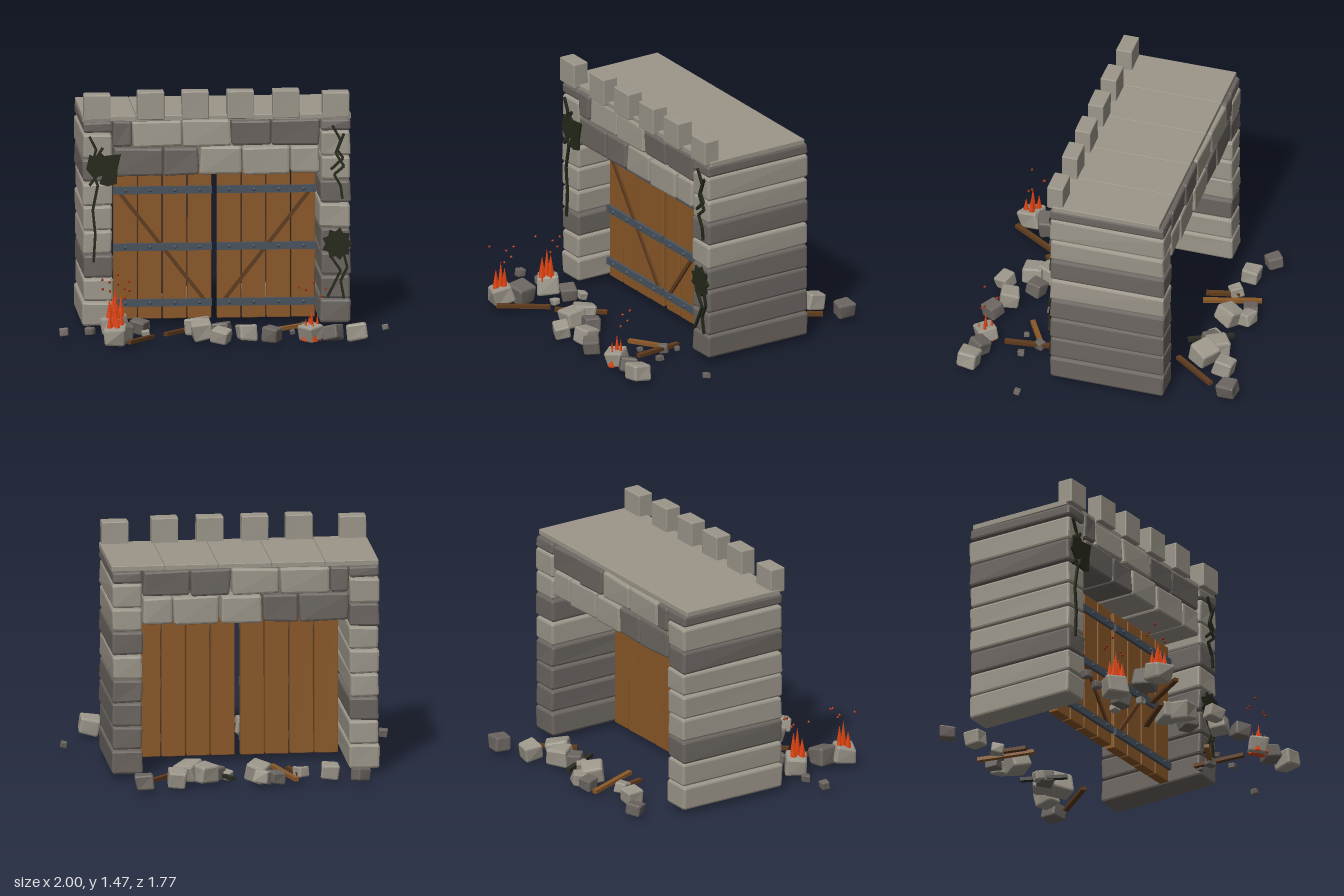
import * as THREE from 'three';

const mat = (name, color, side = THREE.FrontSide) => {
  const m = new THREE.MeshStandardMaterial({ color, side });
  m.name = name;
  return m;
};

export function createModel() {
  const root = new THREE.Group();
  root.name = 'ruinedGate';

  const light = mat('lightStone', 0x9c968a);
  const dark = mat('darkStone', 0x6b6560);
  const wood = mat('wood', 0x8a5828);
  const brown = mat('darkWood', 0x5f3b1d);
  const iron = mat('iron', 0x48535e);
  const char = mat('charredWood', 0x2a2b22);
  const vine = mat('vine', 0x25281a, THREE.DoubleSide);
  const flame = mat('flame', 0xdd420e);
  const ember = mat('ember', 0x9a3010);

  let seed = 7;
  const rand = () => (seed = (seed * 16807) % 2147483647) / 2147483647;
  const spread = (a) => (rand() * 2 - 1) * a;

  const group = (name, parent = root) => {
    const g = new THREE.Group();
    g.name = name;
    parent.add(g);
    return g;
  };
  const add = (parent, name, geo, material, x = 0, y = 0, z = 0) => {
    const m = new THREE.Mesh(geo, material);
    m.name = name;
    m.position.set(x, y, z);
    parent.add(m);
    return m;
  };
  const flat = (geo) => {
    const g = geo.toNonIndexed();
    g.computeVertexNormals();
    return g;
  };

  // Block with bevelled edges whose eight corners are nudged by a seeded amount
  const stoneGeo = (w, h, d, bevel, jitter) => {
    const geo = new THREE.BoxGeometry(3, 3, 3, 3, 3, 3);
    const half = [w / 2, h / 2, d / 2];
    const nudge = Array.from({ length: 8 }, () => [spread(jitter), spread(jitter), spread(jitter)]);
    const p = geo.attributes.position;
    for (let i = 0; i < p.count; i++) {
      const c = [p.getX(i), p.getY(i), p.getZ(i)];
      const outer = c.filter((v) => Math.abs(v) > 1).length;
      const n = nudge[(c[0] > 0 ? 1 : 0) + (c[1] > 0 ? 2 : 0) + (c[2] > 0 ? 4 : 0)];
      const q = c.map((v, k) => {
        const inset = Math.abs(v) < 1 ? bevel : outer > 1 ? bevel * 0.3 * (outer - 1) : 0;
        return Math.sign(v) * (half[k] - inset) + n[k];
      });
      p.setXYZ(i, ...q);
    }
    return flat(geo);
  };
  const block = (parent, name, x0, x1, y0, y1, z0, z1, material, bevel = 0.012, jitter = 0.004) =>
    add(parent, name, stoneGeo(x1 - x0, y1 - y0, z1 - z0, bevel, jitter), material,
      (x0 + x1) / 2, (y0 + y1) / 2, (z0 + z1) / 2);

  // Straight bar between two points
  const beam = (parent, name, a, b, w, h, material) => {
    const from = new THREE.Vector3(...a), to = new THREE.Vector3(...b);
    const mid = from.clone().add(to).multiplyScalar(0.5);
    const m = add(parent, name, new THREE.BoxGeometry(w, h, from.distanceTo(to)), material, mid.x, mid.y, mid.z);
    m.lookAt(to);
    return m;
  };

  // Side pillars: full-depth courses (1 = dark stone)
  const pillars = group('pillars');
  const rows = [0.035, 0.183, 0.33, 0.475, 0.62, 0.77, 0.915, 1.06, 1.215, 1.29];
  const courses = { left: [0.6, 0.78, [1, 1, 1, 1, 0, 1, 0, 0, 1]], right: [-0.84, -0.66, [0, 0, 1, 0, 0, 0, 1, 0, 1]] };
  for (const [side, [x0, x1, tones]] of Object.entries(courses)) {
    tones.forEach((t, i) => block(pillars, side + 'PillarStone', x0 + spread(0.004), x1 + spread(0.004),
      rows[i] + 0.003, rows[i + 1] - 0.003, -0.47, 0.245, t ? dark : light, 0.014));
  }

  // Lintel: two courses of long stones spanning the depth
  const lintel = group('lintel');
  const lintelRows = [
    [0.955, 1.125, [-0.655, -0.35, -0.133, 0.125, 0.415, 0.595], [1, 1, 0, 0, 0]],
    [1.13, 1.29, [-0.66, -0.54, -0.238, 0.06, 0.304, 0.598], [1, 0, 0, 1, 1]],
  ];
  for (const [y0, y1, xs, tones] of lintelRows) {
    tones.forEach((t, i) => block(lintel, 'lintelStone', xs[i] + 0.004, xs[i + 1] - 0.004, y0, y1,
      -0.47, 0.245 + spread(0.006), t ? dark : light, 0.014, 0.006));
  }

  // Roof slabs and battlements
  const roof = group('roof');
  for (let i = 0; i < 5; i++) {
    const x = -0.84 + i * 0.325;
    block(roof, 'roofSlab', x + 0.001, x + 0.324, 1.285, 1.32, -0.445, 0.228, light, 0.004, 0);
  }
  [-0.753, -0.428, -0.158, 0.115, 0.39, 0.692].forEach((x, i) =>
    block(roof, 'merlon', x - 0.081, x + 0.081, 1.3, i % 5 ? 1.47 : 1.455, 0.165, 0.265, light, 0.006, 0.001));

  // Double doors: planks, iron bands, rivets, diagonal brace
  const rivetGeo = new THREE.SphereGeometry(0.011, 8, 6);
  for (const [side, x0, dir] of [['right', -0.643, 1], ['left', -0.015, -1]]) {
    const door = group(side + 'Door');
    for (let i = 0; i < 4; i++) {
      const x = x0 + 0.075 + i * 0.15;
      block(door, 'doorPlank', x - 0.071, x + 0.071, 0.04, 0.935, -0.03, 0.03, wood, 0.004, 0.001);
      for (const y of [0.14, 0.482, 0.83]) add(door, 'rivet', rivetGeo, iron, x, y, 0.051);
    }
    for (const y of [0.14, 0.482, 0.83]) {
      add(door, 'ironBand', new THREE.BoxGeometry(0.6, 0.045, 0.022), iron, x0 + 0.3, y, 0.039);
    }
    const mid = x0 + 0.3;
    beam(door, 'diagonalBrace', [mid - dir * 0.257, 0.81, 0.036], [mid + dir * 0.257, 0.15, 0.036], 0.014, 0.022, brown);
  }

  // Fallen stones: x, z, size, dark flag
  const rubble = group('rubble');
  const rocks = [
    [-0.97, 0.46, 0.052, 1], [-0.81, 0.43, 0.05, 1], [-0.66, 0.46, 0.13, 0], [-0.51, 0.41, 0.095, 1],
    [-0.47, 0.34, 0.05, 0], [-0.48, 0.53, 0.045, 0], [-0.63, 0.67, 0.125, 1], [-0.68, 0.79, 0.13, 0],
    [-0.165, 0.52, 0.13, 0], [-0.145, 0.625, 0.125, 0], [-0.02, 0.57, 0.1, 1], [-0.04, 0.77, 0.1, 0],
    [0.12, 0.695, 0.11, 0], [0.27, 0.755, 0.1, 1], [0.52, 0.305, 0.03, 1], [0.5, 0.39, 0.055, 1],
    [0.6, 0.48, 0.04, 1], [0.41, 0.5, 0.03, 1], [0.98, 0.39, 0.038, 1], [0.51, 0.73, 0.11, 0],
    [0.64, 0.73, 0.1, 1], [0.78, 0.755, 0.125, 0],
    [-0.695, -0.725, 0.09, 1], [-0.52, -0.635, 0.105, 0], [-0.35, -0.59, 0.075, 0], [-0.19, -0.73, 0.085, 1],
    [-0.1, -0.735, 0.09, 0], [-0.085, -0.63, 0.125, 0], [0.1, -0.59, 0.06, 0], [0.17, -0.59, 0.095, 1],
    [0.245, -0.65, 0.13, 0], [0.34, -0.6, 0.135, 0], [0.42, -0.745, 0.11, 0], [0.625, -0.83, 0.11, 1],
  ];
  for (const [x, z, s, t] of rocks) {
    const m = add(rubble, 'fallenStone', stoneGeo(s, s * 0.85, s, s * 0.1, s * 0.06), t ? dark : light, x, 0.018 + s * 0.46, z);
    m.rotation.set(spread(0.2), spread(0.7), spread(0.2));
  }

  // Broken planks on the ground
  const debris = group('brokenPlanks');
  const planks = [
    [-0.365, 0.605, -0.16, 0.36, brown], [-0.605, 0.87, -0.44, 0.59, brown],
    [0.29, 0.5, 0.5, 0.385, wood], [0.49, 0.28, 0.545, 0.6, brown],
    [-0.305, -0.765, -0.19, -0.43, wood], [-0.335, -0.62, -0.29, -0.42, brown],
    [0.075, -0.705, 0.2, -0.45, char], [0.58, -0.71, 0.37, -0.44, brown],
  ];
  for (const [x0, z0, x1, z1, m] of planks) {
    beam(debris, 'brokenPlank', [x0, 0.045, z0], [x1, 0.045 + spread(0.018), z1], 0.03, 0.022, m);
  }

  // Fires: centre, peak height, and drifting embers
  const fires = [[-0.66, 0.47, 0.31], [-0.68, 0.79, 0.29], [0.51, 0.73, 0.22]];
  const tongues = [[0, 0, 1], [-0.035, 0.012, 0.7], [0.035, -0.005, 0.8], [0.008, 0.04, 0.6], [-0.012, -0.035, 0.75]];
  const sparks = [[-0.03, -0.06, 0.02], [0.02, -0.08, 0.06], [0.055, 0.01, -0.01], [0.085, -0.02, 0.03], [-0.08, 0.03, 0.05]];
  fires.forEach(([x, z, top]) => {
    const fire = group('fire');
    const base = top - 0.2;
    for (const [dx, dz, k] of tongues) {
      add(fire, 'flameTongue', flat(new THREE.ConeGeometry(0.027, 0.2 * k, 6)), flame, x + dx, base + 0.1 * k, z + dz);
    }
    for (const [dx, dz, dy] of sparks) {
      add(fire, 'emberSpark', flat(new THREE.IcosahedronGeometry(0.009, 0)), ember, x + dx,
        (top < 0.25 ? 0.3 : 0.315) + dy, z + dz);
    }
  });

  // Dead creepers on the pillar fronts: zigzag stems and thin leafy clumps
  const creepers = group('creepers');
  const stems = [
    [[-0.8, 1.2], [-0.76, 1.12], [-0.79, 1.0], [-0.75, 0.9], [-0.78, 0.75], [-0.765, 0.6], [-0.775, 0.43]],
    [[-0.72, 1.13], [-0.77, 1.05], [-0.74, 0.98], [-0.8, 0.9]],
    [[0.67, 1.25], [0.72, 1.16], [0.69, 1.08], [0.74, 1.0], [0.68, 0.95], [0.72, 0.88], [0.73, 0.8]],
    [[0.74, 1.2], [0.7, 1.1], [0.735, 1.05], [0.66, 0.98]],
    [[0.7, 0.6], [0.66, 0.45], [0.72, 0.36], [0.68, 0.28], [0.64, 0.2]],
    [[0.73, 0.5], [0.76, 0.38], [0.72, 0.3], [0.74, 0.19]],
  ];
  for (const pts of stems) {
    for (let i = 1; i < pts.length; i++) {
      beam(creepers, 'creeperStem', [...pts[i - 1], 0.253], [...pts[i], 0.253], 0.014, 0.015, vine);
    }
  }
  const clump = (name, pts) => {
    const shape = new THREE.Shape(pts.map(([x, y]) => new THREE.Vector2(x, y)));
    add(creepers, name, new THREE.ExtrudeGeometry(shape, { depth: 0.012, bevelEnabled: false }), vine, 0, 0, 0.248);
  };
  clump('rightLeafClump', [[-0.82, 1.0], [-0.8, 1.09], [-0.76, 1.07], [-0.74, 1.11], [-0.71, 1.08], [-0.61, 1.09],
    [-0.63, 1.0], [-0.635, 0.91], [-0.69, 0.895], [-0.74, 0.91], [-0.72, 0.96], [-0.78, 0.95]]);
  clump('leftLeafClump', Array.from({ length: 18 }, (_, i) => {
    const a = (i / 18) * Math.PI * 2, r = i % 2 ? 0.075 : 0.1;
    return [0.7 + Math.cos(a) * r * 0.95, 0.525 + Math.sin(a) * r];
  }));

  return root;
}
